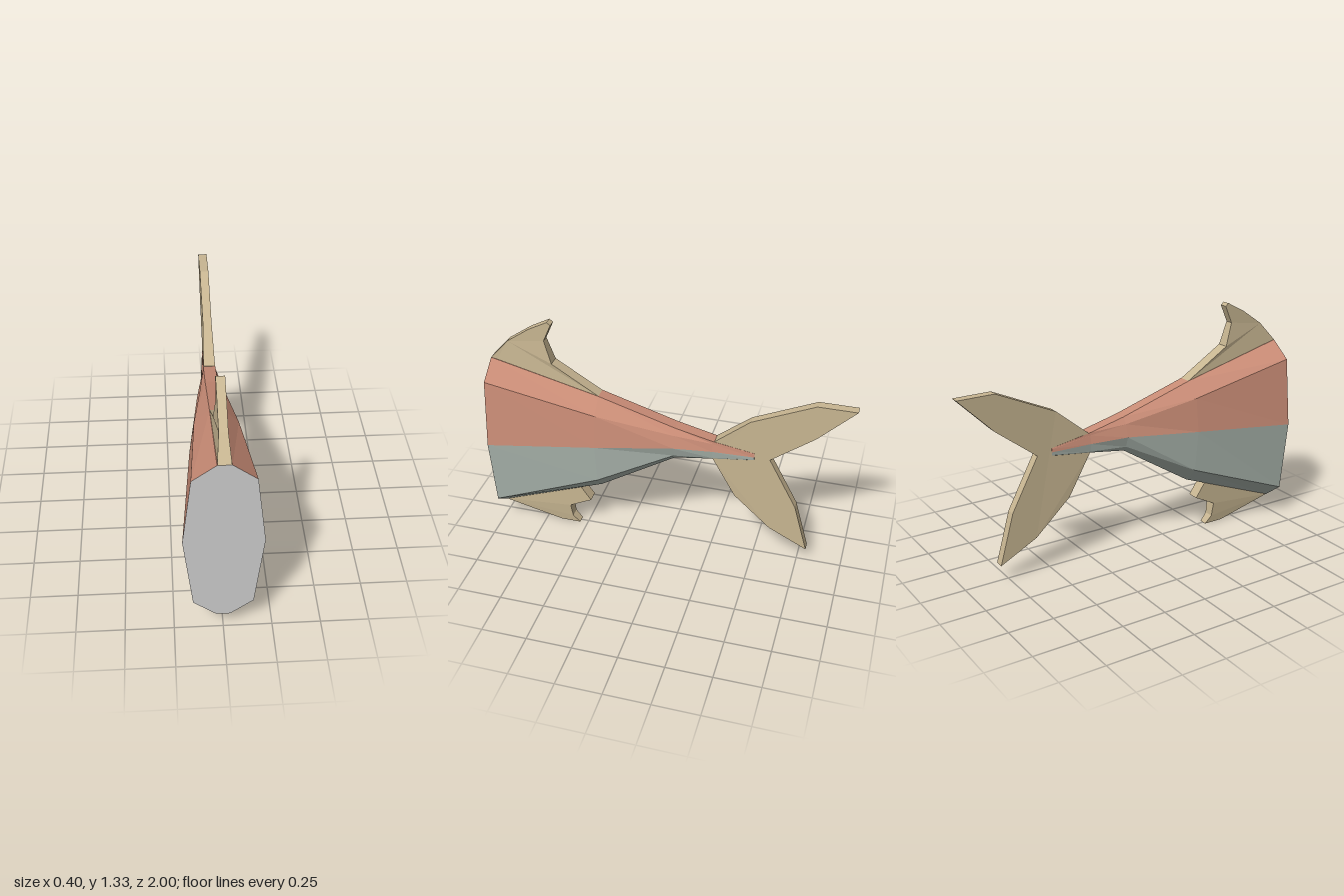
import * as THREE from 'three';

const mat = (color) => new THREE.MeshStandardMaterial({ color, flatShading: true, side: THREE.DoubleSide });
const orange = mat(0xc98c76), teal = mat(0xadb8b0), tan = mat(0xc8b692), grey = mat(0xcccccc);

// Body stations: z, then [half width, y] for ridge, shoulder, flank, lower flank, keel
const stations = [
  [1, [0.035, 1.075], [0.155, 0.985], [0.2, 0.6], [0.152, 0.185], [0.035, 0.095]],
  [0.39, [0.035, 0.925], [0.115, 0.845], [0.14, 0.655], [0.115, 0.415], [0.035, 0.33]],
  [-0.04, [0.035, 0.795], [0.06, 0.76], [0.08, 0.69], [0.06, 0.63], [0.035, 0.6]],
  [-0.25, [0.034, 0.745], [0.036, 0.73], [0.045, 0.684], [0.037, 0.638], [0.034, 0.632]],
  [-0.48, [0.026, 0.702], [0.028, 0.698], [0.03, 0.68], [0.028, 0.662], [0.026, 0.66]],
];

// Counter-clockwise points, seen from the front, of the upper or lower half of a station
function halfRing([z, ...p], upper) {
  const side = upper ? [p[2], p[1], p[0]] : [p[2], p[3], p[4]];
  const left = side.map(([x, y]) => [x, y, z]);
  const right = side.map(([x, y]) => [-x, y, z]).reverse();
  const ring = [...left, ...right];
  return upper ? ring : ring.reverse();
}

// Skin between successive half rings
function loft(upper) {
  const rings = stations.map((s) => halfRing(s, upper));
  const pos = [];
  for (let i = 0; i < rings.length - 1; i++) {
    const a = rings[i], b = rings[i + 1];
    for (let j = 0; j < a.length - 1; j++) {
      pos.push(...a[j], ...b[j], ...a[j + 1], ...a[j + 1], ...b[j], ...b[j + 1]);
    }
  }
  const geo = new THREE.BufferGeometry();
  geo.setAttribute('position', new THREE.Float32BufferAttribute(pos, 3));
  geo.computeVertexNormals();
  return geo;
}

const flat = (points) => new THREE.ShapeGeometry(new THREE.Shape(points.map(([x, y]) => new THREE.Vector2(x, y))));

// Plate from a [z, y] outline; halfWidth(z, y) gives its taper
function fin(outline, halfWidth) {
  const shape = new THREE.Shape(outline.map(([z, y]) => new THREE.Vector2(-z, y)));
  const geo = new THREE.ExtrudeGeometry(shape, { depth: 2, bevelEnabled: false });
  geo.rotateY(Math.PI / 2).translate(-1, 0, 0);
  const p = geo.attributes.position;
  for (let i = 0; i < p.count; i++) p.setX(i, Math.sign(p.getX(i)) * halfWidth(p.getZ(i), p.getY(i)));
  geo.computeVertexNormals();
  return geo;
}

const taper = (v, from, to, a, b) => THREE.MathUtils.mapLinear(THREE.MathUtils.clamp(v, Math.min(from, to), Math.max(from, to)), from, to, a, b);

export function createModel() {
  const model = new THREE.Group();
  model.name = 'fishTailHalf';
  const add = (name, geo, material) => {
    const mesh = new THREE.Mesh(geo, material);
    mesh.name = name;
    model.add(mesh);
    return mesh;
  };

  // Two-tone body with a small closed tip
  for (const [name, upper, material] of [['upperBody', true, orange], ['lowerBody', false, teal]]) {
    add(name, loft(upper), material);
    const tip = add(name + 'Tip', flat(halfRing(stations[4], upper)).rotateY(Math.PI), material);
    tip.position.z = -0.48;
  }

  // Flat cut face at the front
  add('frontFace', flat([...halfRing(stations[0], true), ...halfRing(stations[0], false).slice(1, -1)]), grey).position.z = 1;

  // Back fin, thinner towards its tip
  add('backFin', fin([
    [1, 1.075], [0.9, 1.185], [0.77, 1.275], [0.665, 1.33], [0.645, 1.315],
    [0.69, 1.215], [0.65, 1.085], [0.39, 0.925], [0.45, 0.9], [0.98, 1.04],
  ], (z, y) => taper(y, 1.075, 1.18, 0.034, 0.0225)), tan);

  // Belly fin
  add('bellyFin', fin([
    [1, 0.095], [0.66, 0.005], [0.545, 0.005], [0.585, 0.05], [0.595, 0.13],
    [0.465, 0.195], [0.52, 0.275], [0.55, 0.29], [0.97, 0.13],
  ], (z, y) => taper(y, 0.1, 0.005, 0.034, 0.023)), tan);

  // Forked tail fin, thickest where it joins the body
  add('tailFin', fin([
    [-0.26, 0.745], [-0.45, 0.9], [-0.79, 1.055], [-1, 1.055], [-0.8, 0.855], [-0.565, 0.675],
    [-0.72, 0.385], [-0.8, 0.1], [-0.585, 0.21], [-0.38, 0.4], [-0.25, 0.635],
  ], (z) => taper(z, -0.26, -0.45, 0.033, 0.025)), tan);

  return model;
}
